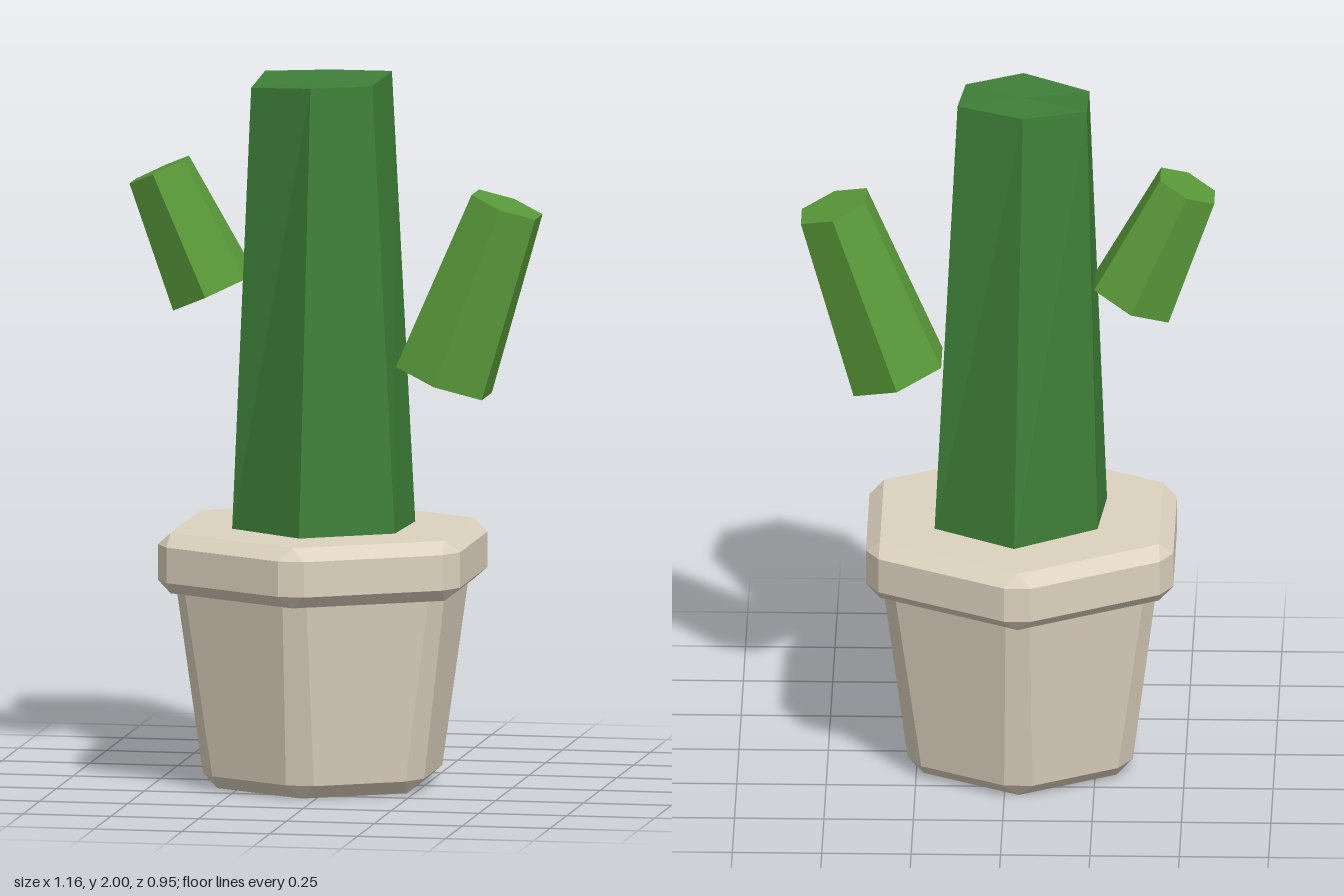
import * as THREE from 'three';

const POT_X = -0.04;

function material(color) {
  return new THREE.MeshStandardMaterial({ color, flatShading: true });
}

// Closed solid from equal-length rings of points, listed bottom to top
function loft(name, rings, mat) {
  const pos = [];
  const tri = (a, b, c) => {
    if (a.distanceTo(b) < 1e-5 || b.distanceTo(c) < 1e-5 || c.distanceTo(a) < 1e-5) return;
    for (const p of [a, b, c]) pos.push(p.x, p.y, p.z);
  };
  const centre = (ring) =>
    ring.reduce((sum, p) => sum.add(p), new THREE.Vector3()).divideScalar(ring.length);
  const n = rings[0].length;
  const bottom = rings[0], top = rings[rings.length - 1];
  const bottomMid = centre(bottom), topMid = centre(top);
  for (let i = 0; i < n; i++) {
    const j = (i + 1) % n;
    for (let r = 0; r + 1 < rings.length; r++) {
      const a = rings[r], b = rings[r + 1];
      tri(a[i], a[j], b[j]);
      tri(a[i], b[j], b[i]);
    }
    tri(bottomMid, bottom[j], bottom[i]);
    tri(topMid, top[i], top[j]);
  }
  const geo = new THREE.BufferGeometry();
  geo.setAttribute('position', new THREE.Float32BufferAttribute(pos, 3));
  geo.computeVertexNormals();
  const mesh = new THREE.Mesh(geo, mat);
  mesh.name = name;
  return mesh;
}

// Hexagon ring whose corners are cut to a half width of `cut` (0 keeps them sharp)
function hexRing(y, apothem, cut) {
  const radius = apothem / Math.cos(Math.PI / 6);
  const ring = [];
  for (let k = 0; k < 6; k++) {
    const a = (k * Math.PI) / 3, s = Math.sin(a), c = Math.cos(a);
    const r = radius - cut * Math.tan(Math.PI / 6);
    for (const side of [-cut, cut]) {
      ring.push(new THREE.Vector3(POT_X + s * r + c * side, y, c * r - s * side));
    }
  }
  return ring;
}

// Tapered six-sided arm between two points in the x-y plane
function arm(name, from, to, r0, r1, mat) {
  const start = new THREE.Vector3(...from, 0), end = new THREE.Vector3(...to, 0);
  const dir = end.clone().sub(start);
  const mesh = new THREE.Mesh(new THREE.CylinderGeometry(r1, r0, dir.length(), 6), mat);
  mesh.position.copy(start).add(end).multiplyScalar(0.5);
  mesh.rotation.z = -Math.atan2(dir.x, dir.y);
  mesh.name = name;
  return mesh;
}

export function createModel() {
  const group = new THREE.Group();
  group.name = 'pottedCactus';
  const clay = material(0xddd2bf);
  const darkGreen = material(0x3f7f38);
  const lightGreen = material(0x5a9a3a);

  // Pot with bevelled foot, and bevelled rim
  group.add(loft('potBody', [
    hexRing(0, 0.27, 0),
    hexRing(0.04, 0.315, 0.04),
    hexRing(0.57, 0.382, 0.034),
  ], clay));
  group.add(loft('potRim', [
    hexRing(0.557, 0.39, 0),
    hexRing(0.592, 0.43, 0.037),
    hexRing(0.692, 0.43, 0.037),
    hexRing(0.727, 0.39, 0),
  ], clay));

  // Slightly irregular tapered trunk
  const base = [[-0.057, 0.263], [0.188, 0.118], [0.2, -0.127],
    [-0.026, -0.27], [-0.256, -0.118], [-0.277, 0.109]];
  const crown = [[-0.042, 1.985, 0.172], [0.118, 1.985, 0.085], [0.136, 2, -0.112],
    [-0.048, 1.99, -0.176], [-0.226, 1.99, -0.118], [-0.228, 1.97, 0.08]];
  group.add(loft('trunk', [
    base.map(([x, z]) => new THREE.Vector3(x, 0.72, z)),
    crown.map((p) => new THREE.Vector3(...p)),
  ], darkGreen));

  // Side arms
  group.add(arm('leftArm', [0.305, 1.148], [0.485, 1.648], 0.15, 0.111, lightGreen));
  group.add(arm('rightArm', [-0.349, 1.38], [-0.505, 1.72], 0.132, 0.096, lightGreen));
  return group;
}
